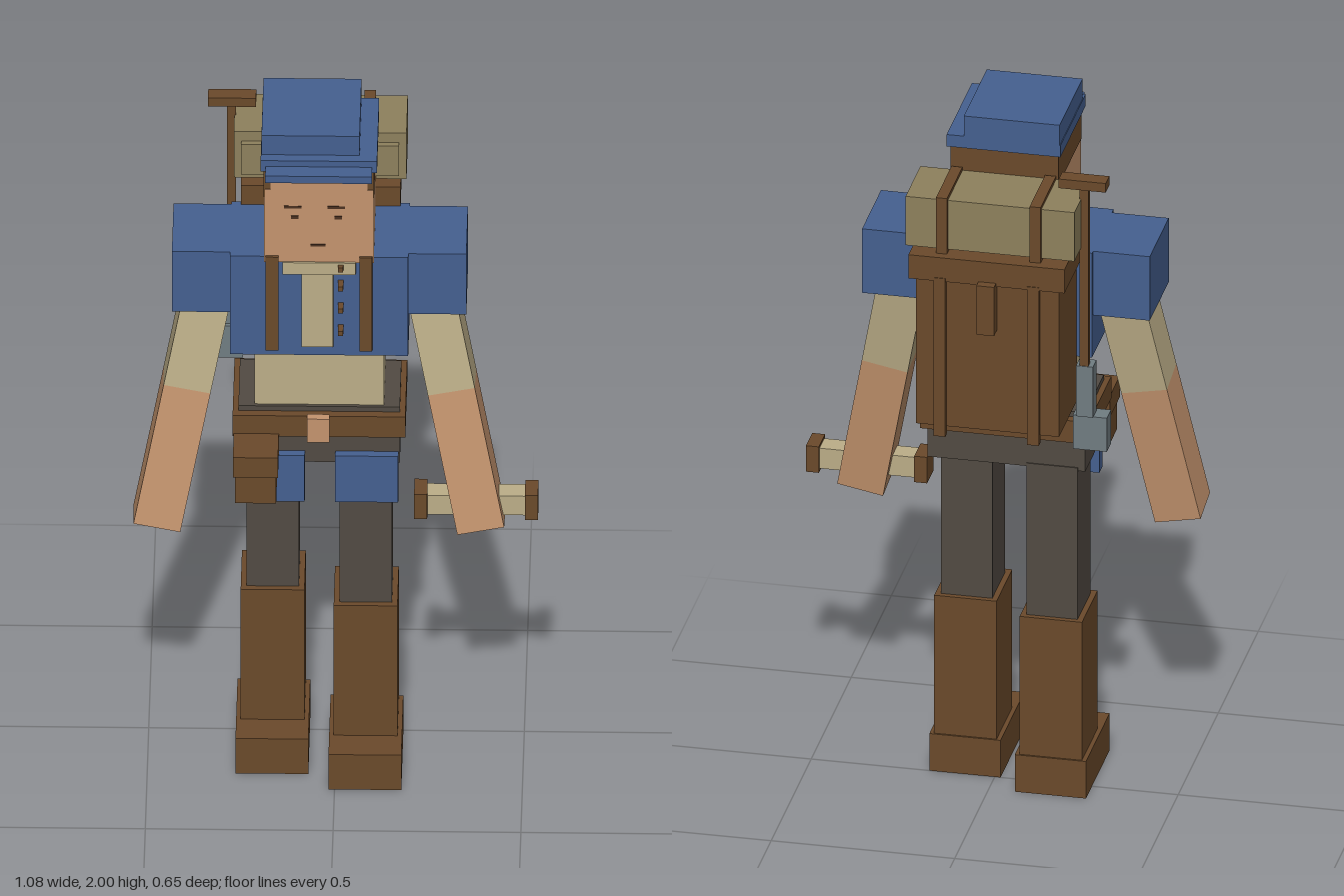
import * as THREE from 'three';

const mat = (name, color) => {
  const m = new THREE.MeshStandardMaterial({ color });
  m.name = name;
  return m;
};

export function createModel() {
  const blue = mat('blue cloth', 0x456090);
  const brown = mat('brown leather', 0x6b4a2b);
  const skin = mat('skin', 0xc4946e);
  const beige = mat('beige shirt', 0xbcae88);
  const khaki = mat('khaki blanket', 0x8e815d);
  const grey = mat('dark grey trousers', 0x524b43);
  const steel = mat('steel', 0x717d82);
  const dark = mat('dark face lines', 0x4a3020);

  const group = new THREE.Group();
  const cx = -0.043; // body centre line

  // Box given by its limits on each axis
  const box = (name, m, x0, x1, y0, y1, z0, z1) => {
    const mesh = new THREE.Mesh(new THREE.BoxGeometry(x1 - x0, y1 - y0, z1 - z0), m);
    mesh.position.set((x0 + x1) / 2, (y0 + y1) / 2, (z0 + z1) / 2);
    mesh.name = name;
    group.add(mesh);
    return mesh;
  };
  // Box centred on x with a given width
  const wide = (name, m, x, w, ...rest) => box(name, m, x - w / 2, x + w / 2, ...rest);

  // Legs, the right one set back
  for (const [side, x, dz] of [['right', -0.168, -0.075], ['left', 0.081, 0]]) {
    wide(side + 'Shoe', brown, x, 0.194, 0, 0.11, dz, 0.296 + dz);
    wide(side + 'Boot', brown, x, 0.17, 0.11, 0.52, 0.005 + dz, 0.2 + dz);
    wide(side + 'Trouser', grey, x, 0.14, 0.52, 0.97, 0.02 + dz, 0.182 + dz);
    wide(side + 'ThighPanel', blue, x + 0.003, 0.168, 0.85, 0.995, 0.165, 0.205);
  }

  // Hips and belt
  wide('hips', grey, cx, 0.43, 0.96, 1.135, -0.052, 0.18);
  wide('belt', brown, cx, 0.46, 1.055, 1.12, -0.078, 0.205);
  wide('buckle', skin, -0.045, 0.06, 1.05, 1.123, 0.2, 0.225);
  box('beltPouch', brown, -0.265, -0.155, 0.91, 1.0, 0.205, 0.31);
  box('beltPouchFlap', brown, -0.27, -0.15, 1.0, 1.063, 0.2, 0.325);

  // Torso
  wide('shirt', beige, cx, 0.345, 1.13, 1.32, -0.045, 0.17);
  wide('jacket', blue, cx, 0.475, 1.31, 1.62, -0.07, 0.2);
  box('placket', beige, -0.09, -0.005, 1.34, 1.61, 0.2, 0.208);
  box('collar', beige, -0.14, 0.055, 1.575, 1.612, 0.2, 0.218);
  for (const y of [1.4, 1.47, 1.54, 1.6])
    wide('button', brown, 0.015, 0.014, y - 0.007, y + 0.007, 0.2, 0.234);
  for (const x of [-0.168, 0.082]) {
    wide('shoulderStrap', brown, x, 0.034, 1.335, 1.63, 0.2, 0.22);
    wide('shoulderStrapTop', brown, x, 0.034, 1.62, 1.63, -0.07, 0.2);
  }

  // Arms: short sleeves, then slanted two-colour limbs
  for (const s of [-1, 1]) {
    const side = s < 0 ? 'right' : 'left';
    wide(side + 'Sleeve', blue, cx + s * 0.306, 0.172, 1.43, 1.62, -0.057, 0.18);
    const top = new THREE.Vector3(cx + s * 0.302, 1.43, 0.075);
    const dir = new THREE.Vector3(s * 0.13, -0.66, 0.093);
    const limb = (name, m, t0, t1) => {
      const mesh = new THREE.Mesh(new THREE.BoxGeometry(0.127, dir.length() * (t1 - t0), 0.127), m);
      mesh.position.copy(top).addScaledVector(dir, (t0 + t1) / 2);
      mesh.quaternion.setFromUnitVectors(new THREE.Vector3(0, -1, 0), dir.clone().normalize());
      mesh.name = side + name;
      group.add(mesh);
    };
    limb('ShirtArm', beige, -0.1, 0.39);
    limb('Forearm', skin, 0.39, 1);
  }

  // Scroll in the left hand
  box('scroll', beige, 0.24, 0.51, 0.802, 0.862, 0.127, 0.187);
  box('scrollEnd', brown, 0.21, 0.245, 0.793, 0.87, 0.118, 0.196);
  box('scrollEnd', brown, 0.505, 0.54, 0.793, 0.87, 0.118, 0.196);

  // Head, hair and face
  wide('head', skin, cx, 0.292, 1.61, 1.815, -0.075, 0.212);
  wide('hair', brown, cx, 0.294, 1.815, 1.91, -0.077, 0.212);
  wide('backHair', brown, cx, 0.292, 1.69, 1.815, -0.079, -0.075);
  wide('forehead', skin, cx, 0.288, 1.815, 1.84, 0.212, 0.215);
  wide('foreheadTop', skin, cx, 0.258, 1.84, 1.87, 0.212, 0.215);
  for (const x of [-0.113, 0.003]) {
    wide('eyebrow', dark, x, 0.046, 1.781, 1.788, 0.212, 0.214);
    wide('eye', dark, x + 0.006, 0.02, 1.747, 1.757, 0.212, 0.214);
  }
  wide('mouth', dark, -0.045, 0.04, 1.661, 1.668, 0.212, 0.214);

  // Cap
  wide('capBrim', blue, cx, 0.31, 1.905, 1.94, -0.087, 0.228);
  wide('capVisor', blue, cx, 0.284, 1.9, 1.922, 0.2, 0.276);
  box('capCrown', blue, -0.196, 0.065, 1.94, 2.0, -0.087, 0.198);

  // Backpack
  wide('backpack', brown, cx, 0.39, 1.175, 1.62, -0.287, -0.065);
  wide('backpackFlap', brown, cx, 0.425, 1.61, 1.68, -0.3, -0.055);
  wide('backpackClasp', brown, -0.045, 0.048, 1.475, 1.62, -0.325, -0.285);
  for (const x of [-0.17, 0.085]) {
    wide('backpackStrap', brown, x, 0.032, 1.15, 1.62, -0.302, -0.28);
    wide('bedrollStrap', brown, x, 0.03, 1.68, 1.845, -0.275, -0.082);
  }

  // Bedroll
  wide('bedroll', khaki, cx - 0.002, 0.46, 1.69, 1.835, -0.265, -0.08);
  wide('bedrollFold', khaki, cx - 0.002, 0.42, 1.71, 1.805, -0.08, -0.062);

  // Shovel on the right side of the pack
  wide('shovelShaft', brown, -0.283, 0.024, 1.3, 1.87, -0.183, -0.16);
  box('shovelGrip', brown, -0.345, -0.217, 1.868, 1.895, -0.195, -0.15);
  box('shovelSocket', steel, -0.308, -0.262, 1.19, 1.34, -0.185, -0.14);
  box('shovelBlade', steel, -0.345, -0.252, 1.09, 1.19, -0.18, -0.128);

  return group;
}
